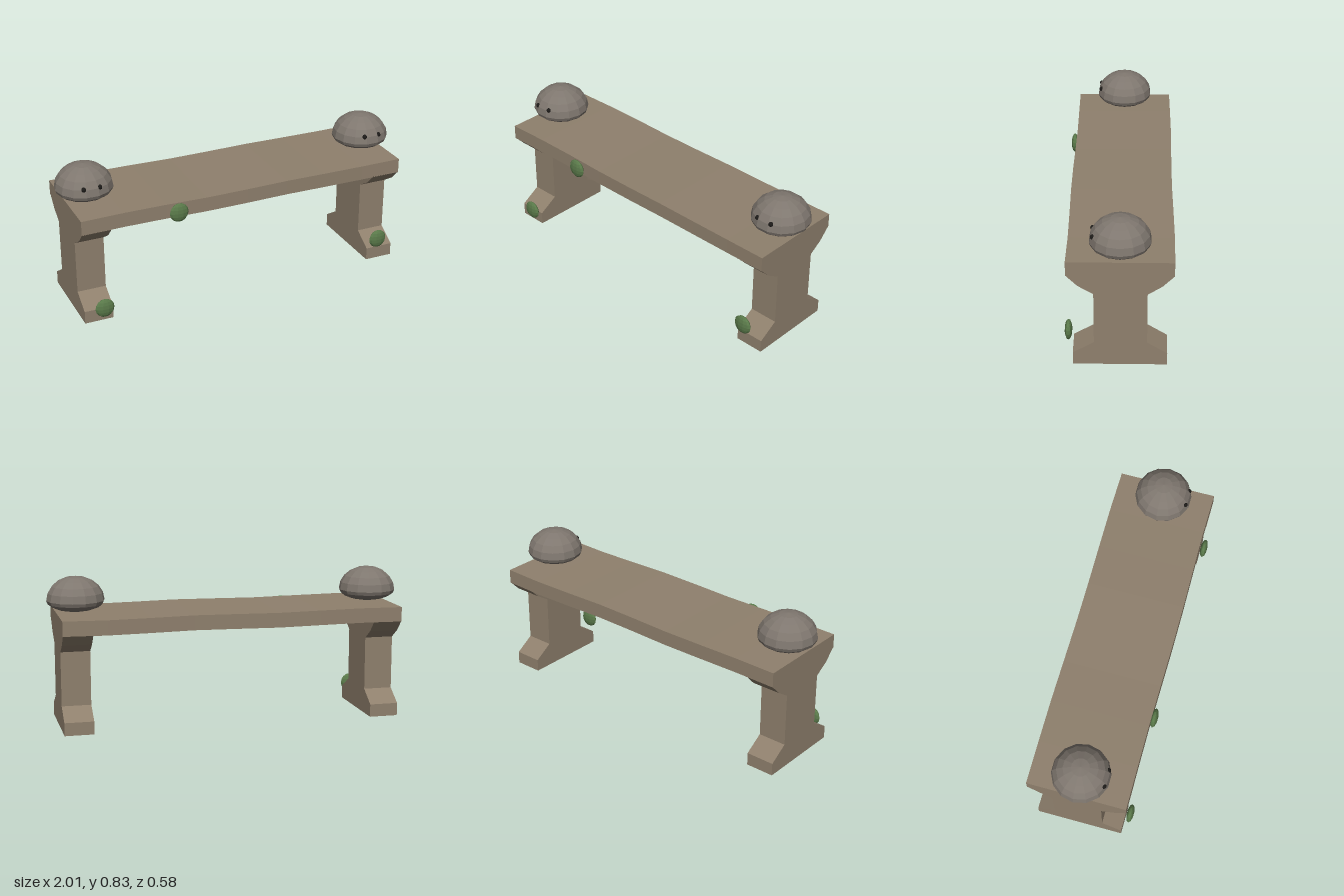
import * as THREE from 'three';

const mat = (color) => new THREE.MeshStandardMaterial({ color, flatShading: true, roughness: 0.9 });

export function createModel() {
  const group = new THREE.Group();
  const stone = mat(0x8f806d), cap = mat(0x7f776f), moss = mat(0x5a7a4a), dark = mat(0x1c1a18);

  const add = (name, geometry, material, x = 0, y = 0, z = 0, parent = group) => {
    const mesh = new THREE.Mesh(geometry, material);
    mesh.name = name;
    mesh.position.set(x, y, z);
    parent.add(mesh);
    return mesh;
  };

  // Seat slab with slightly uneven, hand-cut edges
  const slab = new THREE.BoxGeometry(1.905, 0.082, 0.55, 8, 1, 1);
  const p = slab.attributes.position;
  for (let i = 0; i < p.count; i++) {
    const x = p.getX(i);
    if (Math.abs(x) > 0.9) continue;
    p.setY(i, p.getY(i) + 0.003 * Math.sin(x * 7));
    p.setZ(i, p.getZ(i) + 0.003 * Math.sin(x * 5 + 1));
  }
  slab.computeVertexNormals();
  add('seat', slab, stone, -0.002, 0.591, -0.015);

  // Legs: waisted profile with wide foot and flared bracket, drawn in (-z, y)
  const profile = [
    [-0.23, 0], [0.26, 0], [0.26, 0.072], [0.155, 0.14], [0.155, 0.44], [0.23, 0.49], [0.29, 0.552],
    [-0.26, 0.552], [-0.2, 0.49], [-0.12, 0.44], [-0.12, 0.14], [-0.23, 0.072],
  ].map(([u, v]) => new THREE.Vector2(u, v));
  const legGeo = new THREE.ExtrudeGeometry(new THREE.Shape(profile), { depth: 0.162, bevelEnabled: false });
  legGeo.translate(0, 0, -0.081);
  legGeo.rotateY(Math.PI / 2);

  // Domed cap stone: faceted sphere, flatter below its rim
  const domeGeo = new THREE.SphereGeometry(0.16, 14, 10);
  const d = domeGeo.attributes.position;
  for (let i = 0; i < d.count; i++) {
    const y = d.getY(i);
    d.setY(i, y * (y > 0 ? 0.83 : 0.385));
  }
  domeGeo.computeVertexNormals();
  const eyeGeo = new THREE.SphereGeometry(0.014, 8, 6);

  for (const [side, s] of [['left', 1], ['right', -1]]) {
    add(side + 'Leg', legGeo, stone, s * 0.87 - 0.002, 0, 0);

    const head = new THREE.Group();
    head.name = side + 'Cap';
    head.position.set(s * 0.843, 0.7, -0.015);
    group.add(head);
    add('dome', domeGeo, cap, 0, 0, 0, head);
    for (const e of [-1, 1]) add('eye', eyeGeo, dark, e * 0.044, 0.042, 0.138, head);
  }

  // Flattened moss patches on the front faces
  const mossGeo = new THREE.SphereGeometry(0.054, 10, 8).scale(1, 1, 0.38);
  for (const [x, y, z] of [[-0.41, 0.579, 0.27], [-0.846, 0.087, 0.256], [0.84, 0.141, 0.256]]) {
    add('mossPatch', mossGeo, moss, x, y, z);
  }
  return group;
}
